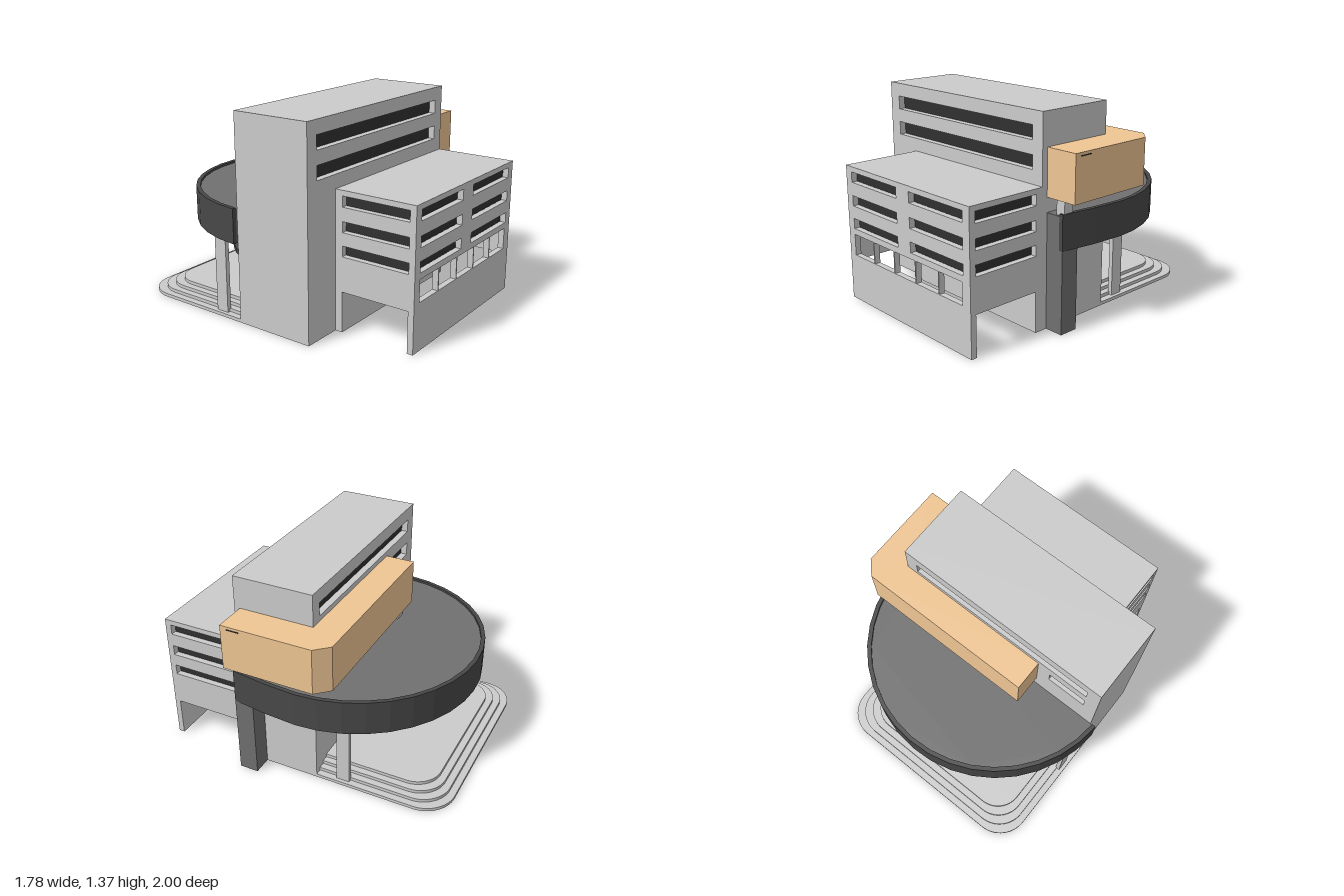
import * as THREE from 'three';

const mat = (color) => new THREE.MeshStandardMaterial({ color, flatShading: true });
const GREY = mat(0xcccccc), DECK = mat(0x707070), RIM = mat(0x484848);
const DRUM = mat(0x2c2c2c), GLASS = mat(0x303030), TAN = mat(0xf0c694);

export function createModel() {
  const model = new THREE.Group();

  const add = (name, geometry, material, parent = model) => {
    const mesh = new THREE.Mesh(geometry, material);
    mesh.name = name;
    parent.add(mesh);
    return mesh;
  };
  // Box given by its limits on each axis
  const box = (name, [x0, x1], [y0, y1], [z0, z1], material = GREY) =>
    add(name, new THREE.BoxGeometry(x1 - x0, y1 - y0, z1 - z0)
      .translate((x0 + x1) / 2, (y0 + y1) / 2, (z0 + z1) / 2), material);
  const rect = (Kind, [x0, x1, y0, y1]) => new Kind([
    new THREE.Vector2(x0, y0), new THREE.Vector2(x1, y0),
    new THREE.Vector2(x1, y1), new THREE.Vector2(x0, y1)]);
  // Upright wall with rectangular openings, each as [x0, x1, y0, y1]
  const wall = (outline, holes, depth) => {
    const shape = rect(THREE.Shape, outline);
    shape.holes = holes.map((h) => rect(THREE.Path, h));
    return new THREE.ExtrudeGeometry(shape, { depth, bevelEnabled: false });
  };
  // Flat plan drawn in (x, -z), raised from y0 to y1
  const raise = (shape, y0, y1) =>
    new THREE.ExtrudeGeometry(shape, { depth: y1 - y0, bevelEnabled: false, curveSegments: 8 })
      .rotateX(-Math.PI / 2).translate(0, y0, 0);
  const plan = (points) => new THREE.Shape(points.map(([x, z]) => new THREE.Vector2(x, -z)));

  // Tall block: solid body, recessed glass, pierced front and back skins
  const T = 0.04;
  box('tallBlock', [-0.85, 0.66], [0, 1.37], [-0.06, 0.39]);
  box('tallBlockFrontGlass', [-0.8, 0.62], [0.98, 1.31], [0.385, 0.395], GLASS);
  box('tallBlockBackGlass', [-0.8, 0.62], [0.98, 1.31], [-0.065, -0.055], GLASS);
  const longRows = [[-0.76, 0.575, 1.19, 1.28], [-0.76, 0.575, 1.01, 1.1]];
  add('tallBlockFrontWall', wall([-0.85, 0.66, 0, 1.37], longRows, 0.05), GREY).position.z = 0.39;
  add('tallBlockBackWall', wall([-0.85, 0.66, 0, 1.37],
    [longRows[0], [-0.76, -0.49, 1.01, 1.1]], 0.05), GREY).position.z = -0.11;

  // Front wing: pierced walls around a dark glass core, raised on an open passage
  const rows = [[0.815, 0.885], [0.655, 0.725], [0.5, 0.57]];
  const frontHoles = rows.flatMap(([a, b]) => [[-0.52, -0.03, a, b], [0.1, 0.6, a, b]]);
  for (let i = 0; i < 5; i++) {
    const x = -0.52 + i * 0.2235;
    frontHoles.push([x, x + 0.215, 0.315, 0.46]);
  }
  add('wingFrontWall', wall([-0.58, 0.66, 0, 0.92], frontHoles, T), GREY).position.z = 0.96;
  const sideHoles = rows.map(([a, b]) => [-0.96 + 0.002, -0.49, a, b]);
  for (const [side, x] of [['left', 0.62], ['right', -0.58]]) {
    const geometry = wall([-0.96, -0.44, 0.27, 0.92], sideHoles, T).rotateY(Math.PI / 2);
    add(side + 'WingSideWall', geometry, GREY).position.x = x;
  }
  box('wingRoof', [-0.54, 0.62], [0.89, 0.92], [0.44, 0.96]);
  box('wingBackWall', [-0.58, 0.66], [0, 0.27], [0.44, 0.49]);
  box('wingInnerWall', [-0.54, 0.62], [0.27, 0.89], [0.44, 0.49]);
  box('wingCeiling', [-0.54, 0.62], [0.465, 0.49], [0.49, 0.96]);
  box('wingGlass', [-0.54, 0.62], [0.49, 0.89], [0.49, 0.955], GLASS);

  // Rounded terrace steps
  for (let i = 0; i < 4; i++) {
    const inset = 0.046 * i, r = 0.21 - 0.012 * i;
    const x0 = -0.85 + inset, x1 = 0.66 - inset, back = 1 - inset;
    const s = new THREE.Shape();
    s.moveTo(x0, 0.11);
    s.lineTo(x1, 0.11);
    s.lineTo(x1, back - r);
    s.absarc(x1 - r, back - r, r, 0, Math.PI / 2);
    s.lineTo(x0 + r, back);
    s.absarc(x0 + r, back - r, r, Math.PI / 2, Math.PI);
    add('terraceStep' + (i + 1), raise(s, i * 0.0225, (i + 1) * 0.0225), GREY);
  }

  // Curved deck with a low raised rim, wrapping round the left side
  const arc = (inset) => {
    const pts = [[0.79 - inset, 0.4], [0.825 - inset, 0.15]];
    const r = 0.865 - inset, end = Math.PI - Math.asin(0.045 / r);
    for (let i = 0; i <= 18; i++) {
      const a = (end * i) / 18;
      pts.push([-0.025 + r * Math.cos(a), -0.065 - r * Math.sin(a)]);
    }
    return pts;
  };
  add('deckFloor', raise(plan([[0.66, 0.4], ...arc(0.028), [0.66, -0.11]]), 0.54, 0.755), DECK);
  add('deckRim', raise(plan([...arc(0), ...arc(0.028).reverse()]), 0.54, 0.77), RIM);
  box('deckPillar', [0.66, 0.79], [0, 0.54], [0.27, 0.4], DECK);
  for (const x of [-0.81, 0.62]) {
    box('deckSupport', [x - 0.015, x + 0.015], [0, 0.54], [-0.335, -0.245]);
  }

  // Half-round drum and lip below the deck
  const halfRound = (r) => {
    const pts = [];
    for (let i = 0; i <= 16; i++) {
      const a = (Math.PI * i) / 16;
      pts.push([-0.1 + r * Math.cos(a), -0.11 - r * Math.sin(a)]);
    }
    return plan(pts);
  };
  add('drum', raise(halfRound(0.52), 0.35, 0.54), DRUM);
  add('drumLip', raise(halfRound(0.545), 0.315, 0.35), RIM);

  // L-shaped upper gallery with a chamfered corner, on short posts
  add('upperGallery', raise(plan([[-0.4, -0.11], [0.66, -0.11], [0.66, 0.4], [0.885, 0.4],
    [0.885, -0.22], [0.8, -0.31], [-0.4, -0.31]]), 0.85, 1.155), TAN);
  box('gallerySlit', [0.88, 0.888], [1.131, 1.138], [0.27, 0.355], GLASS);
  box('galleryPost', [0.725, 0.79], [0.75, 0.85], [0.315, 0.385]);
  box('galleryPost', [-0.36, -0.28], [0.75, 0.85], [-0.26, -0.18]);

  return model;
}
